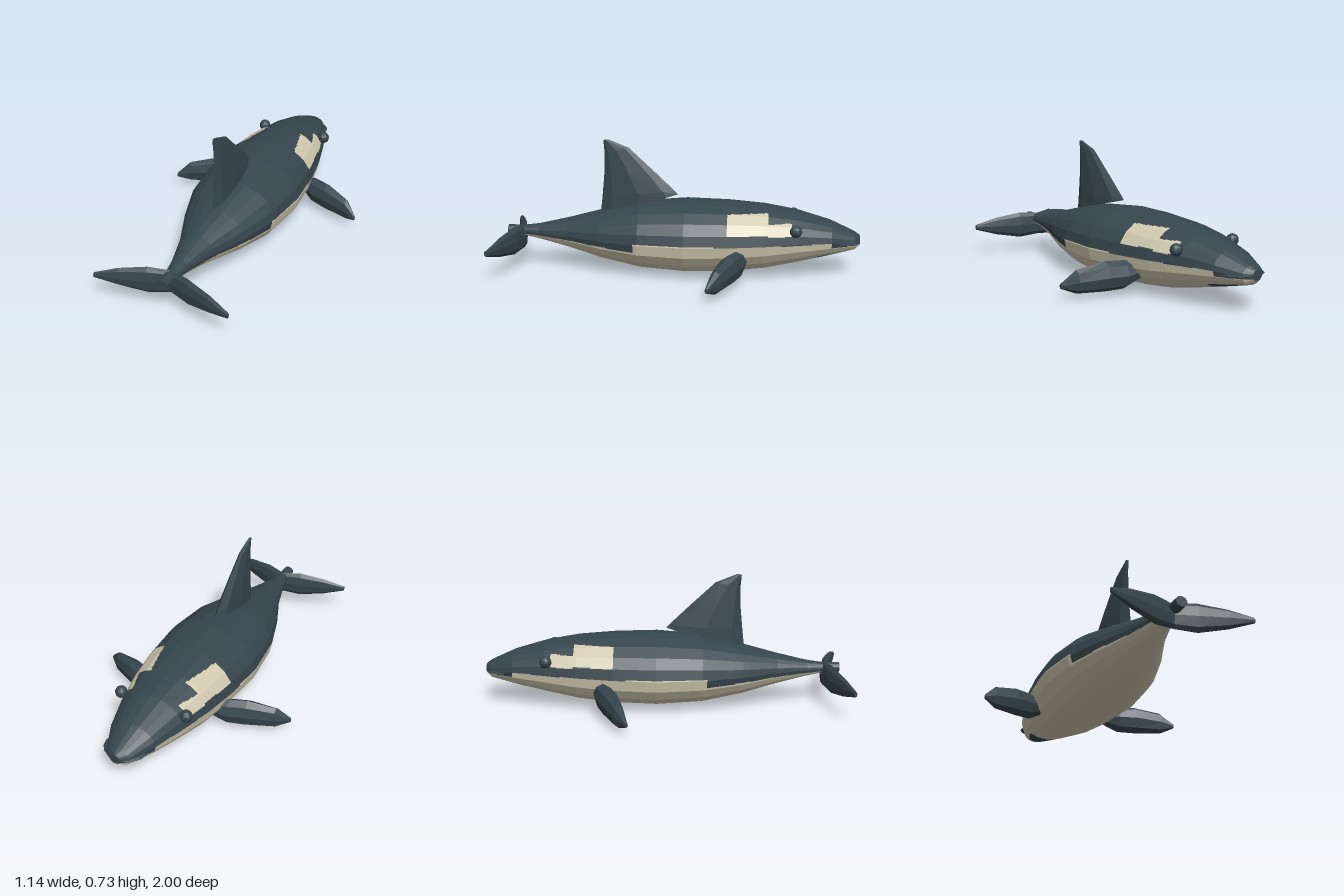
import * as THREE from 'three';

const V = (x, y, z) => new THREE.Vector3(x, y, z);

// Ring of points around a centre; u x v must point along the loft direction
function ring(center, u, v, sides) {
  return Array.from({ length: sides }, (_, i) => {
    const a = (i / sides) * Math.PI * 2;
    return center.clone().addScaledVector(u, Math.sin(a)).addScaledVector(v, Math.cos(a));
  });
}

// Skin a list of rings, capped at both ends. With paint, every facet is divided
// into div x div cells and paint(x, y, z) picks the material index of each cell.
function loft(rings, div = 1, paint = () => 0) {
  const buckets = [[], []];
  const n = rings[0].length;
  const tri = (b, ...pts) => pts.forEach(p => b.push(p.x, p.y, p.z));
  for (let i = 0; i < rings.length - 1; i++) {
    for (let j = 0; j < n; j++) {
      const k = (j + 1) % n;
      const at = (s, t) => rings[i][j].clone().lerp(rings[i][k], s)
        .lerp(rings[i + 1][j].clone().lerp(rings[i + 1][k], s), t);
      for (let p = 0; p < div; p++) {
        for (let q = 0; q < div; q++) {
          const [s0, s1, t0, t1] = [p / div, (p + 1) / div, q / div, (q + 1) / div];
          const m = at((s0 + s1) / 2, (t0 + t1) / 2);
          const a = at(s0, t0), b = at(s1, t0), c = at(s1, t1), d = at(s0, t1);
          const bucket = buckets[paint(m.x, m.y, m.z)];
          tri(bucket, a, d, c);
          tri(bucket, a, c, b);
        }
      }
    }
  }
  [rings[0], rings[rings.length - 1]].forEach((r, end) => {
    const mid = r.reduce((s, p) => s.add(p), V(0, 0, 0)).divideScalar(n);
    for (let j = 0; j < n; j++) {
      const a = r[j], b = r[(j + 1) % n];
      if (end) tri(buckets[0], mid, b, a);
      else tri(buckets[0], mid, a, b);
    }
  });
  const geo = new THREE.BufferGeometry();
  geo.setAttribute('position', new THREE.Float32BufferAttribute(buckets.flat(), 3));
  geo.addGroup(0, buckets[0].length / 3, 0);
  geo.addGroup(buckets[0].length / 3, buckets[1].length / 3, 1);
  geo.computeVertexNormals();
  return geo;
}

// Markings: 0 = dark back, 1 = pale belly and eye patch
function markings(x, y, z) {
  if (z > -0.5 && z < -0.29 && y > 0.265 && y < 0.36) return 1;
  if (z > -0.62 && z <= -0.5 && y > 0.255 && y < 0.315) return 1;
  if (z > -0.94 && z < -0.77 && y < 0.123 + (-0.77 - z) * 0.13) return 0; // chin
  if (z < -0.84) return y < 0.18 ? 1 : 0;
  if (z < 0.22) return y < 0.207 ? 1 : 0;
  return z < 0.88 && y < 0.157 + (z - 0.22) * 0.05 ? 1 : 0;
}

export function createModel() {
  const group = new THREE.Group();
  const dark = new THREE.MeshStandardMaterial({ color: 0x36464e, flatShading: true });
  dark.name = 'slate skin';
  const pale = new THREE.MeshStandardMaterial({ color: 0xd0c8ae, flatShading: true });
  pale.name = 'cream skin';

  const add = (name, geo, mat = dark) => {
    const mesh = new THREE.Mesh(geo, mat);
    mesh.name = name;
    group.add(mesh);
    return mesh;
  };
  // Adds a part on the left and its mirror image on the right
  const addPair = (name, geo) => {
    add(name + 'Left', geo);
    add(name + 'Right', geo).scale.x = -1;
  };

  // Body: z, half width, top, bottom
  const body = [
    [-1.0, 0.03, 0.222, 0.168], [-0.97, 0.07, 0.242, 0.143], [-0.84, 0.135, 0.3, 0.112],
    [-0.66, 0.19, 0.352, 0.07], [-0.48, 0.235, 0.382, 0.033], [-0.28, 0.266, 0.397, 0.012],
    [-0.05, 0.284, 0.402, 0.004], [0.2, 0.255, 0.382, 0.02], [0.42, 0.182, 0.332, 0.063],
    [0.61, 0.1, 0.283, 0.115], [0.78, 0.05, 0.244, 0.157], [0.87, 0.033, 0.232, 0.175],
    [0.96, 0.03, 0.233, 0.18],
  ].map(([z, w, top, low]) =>
    ring(V(0, (top + low) / 2, z), V(w, 0, 0), V(0, (top - low) / 2, 0), 20));
  add('body', loft(body, 10, markings), [dark, pale]);

  // Upper lip over the mouth
  const lip = new THREE.SphereGeometry(1, 16, 6);
  lip.scale(0.118, 0.013, 0.1);
  lip.translate(0, 0.191, -0.9);
  add('upperLip', lip);

  // Dorsal fin: leading edge z, y; trailing edge z, y; half thickness
  const dorsal = [
    [0.0, 0.428, 0.43, 0.33, 0.043], [0.02, 0.45, 0.42, 0.42, 0.041],
    [0.13, 0.555, 0.408, 0.54, 0.03], [0.27, 0.685, 0.405, 0.66, 0.016],
    [0.385, 0.73, 0.41, 0.725, 0.006],
  ].map(([lz, ly, tz, ty, w]) =>
    ring(V(0, (ly + ty) / 2, (lz + tz) / 2), V(0, (ty - ly) / 2, (tz - lz) / 2), V(w, 0, 0), 8));
  add('dorsalFin', loft(dorsal));

  // Side fins: rows of x, y, z of the centre, half height, half thickness
  const blade = rows => loft(rows.map(([x, y, z, h, t]) =>
    ring(V(x, y, z), V(0, h, 0), V(0, 0, t), 8)));
  addPair('flipper', blade([
    [0.19, 0.13, -0.36, 0.045, 0.035], [0.27, 0.112, -0.325, 0.075, 0.053],
    [0.36, 0.109, -0.29, 0.079, 0.052], [0.5, 0.092, -0.235, 0.062, 0.033],
    [0.568, 0.071, -0.194, 0.013, 0.009],
  ]));
  addPair('tailFluke', blade([
    [0, 0.17, 0.873, 0.066, 0.018], [0.11, 0.168, 0.905, 0.077, 0.025],
    [0.25, 0.17, 0.948, 0.052, 0.02], [0.37, 0.17, 0.988, 0.015, 0.009],
  ]));

  // Eyes
  const eye = new THREE.SphereGeometry(0.033, 12, 8);
  eye.translate(0.195, 0.285, -0.645);
  addPair('eye', eye);

  return group;
}
